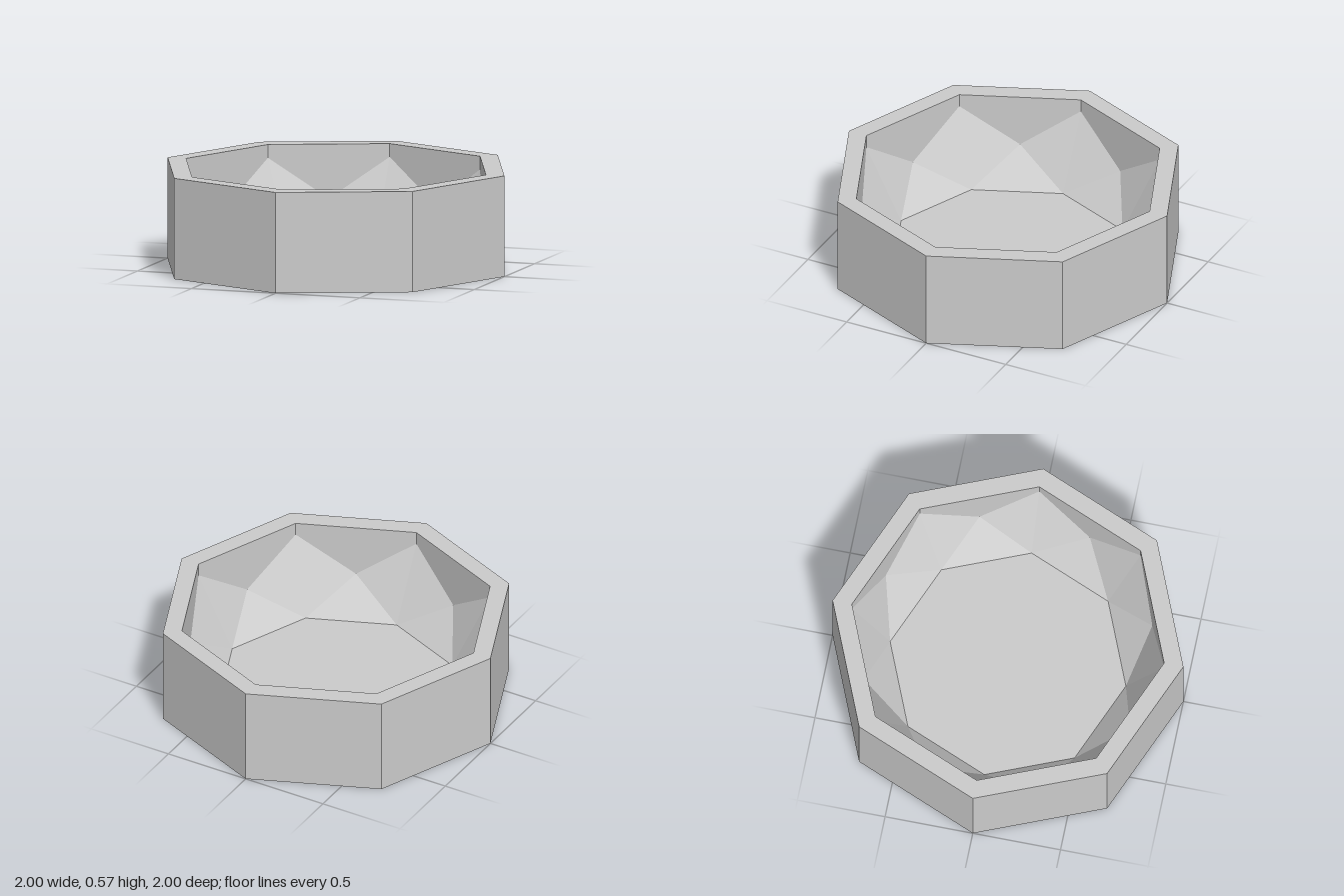
import * as THREE from 'three';

const SIDES = 8;
const STEP = (Math.PI * 2) / SIDES;
const HEIGHT = 0.57;

// Point on an octagon: step i (halves fall mid-side), radius r, height y
const at = (i, r, y) => [Math.sin(i * STEP) * r, y, Math.cos(i * STEP) * r];

// Flat-shaded mesh from convex polygons (counter-clockwise corners), repeated for each side
function facetedPart(name, material, polygonsForSide) {
  const positions = [];
  for (let i = 0; i < SIDES; i++) {
    for (const p of polygonsForSide(i)) {
      for (let k = 1; k < p.length - 1; k++) positions.push(...p[0], ...p[k], ...p[k + 1]);
    }
  }
  const geometry = new THREE.BufferGeometry();
  geometry.setAttribute('position', new THREE.Float32BufferAttribute(positions, 3));
  geometry.computeVertexNormals();
  const mesh = new THREE.Mesh(geometry, material);
  mesh.name = name;
  return mesh;
}

export function createModel() {
  const material = new THREE.MeshStandardMaterial({ color: 0xcccccc, flatShading: true });
  const group = new THREE.Group();
  group.name = 'octagonalBowl';

  const innerR = 0.89;
  const midR = innerR * Math.cos(STEP / 2);
  const outer = (i, y) => at(i, 1, y);
  const rimIn = (i) => at(i, innerR, HEIGHT);
  const corner = (i) => at(i, innerR, 0.495); // foot of each inner wall corner
  const mid = (i) => at(i + 0.5, midR, 0.263); // lowest point of each inner wall
  const floor = (i) => at(i, 0.672, 0.075);

  // Outside walls and underside
  group.add(facetedPart('outerBody', material, (i) => [
    [outer(i, 0), outer(i + 1, 0), outer(i + 1, HEIGHT), outer(i, HEIGHT)],
    [[0, 0, 0], outer(i + 1, 0), outer(i, 0)],
  ]));

  // Flat top rim
  group.add(facetedPart('rim', material, (i) => [
    [outer(i, HEIGHT), outer(i + 1, HEIGHT), rimIn(i + 1), rimIn(i)],
  ]));

  // Upright inner walls, each pointed at the bottom
  group.add(facetedPart('innerWall', material, (i) => [
    [mid(i), corner(i), rimIn(i), rimIn(i + 1), corner(i + 1)],
  ]));

  // Sloping facets: a kite under each corner, a triangle under each side
  group.add(facetedPart('slopingFacets', material, (i) => [
    [corner(i), mid(i), floor(i), mid(i - 1)],
    [mid(i), floor(i + 1), floor(i)],
  ]));

  // Flat floor of the bowl
  group.add(facetedPart('bowlFloor', material, (i) => [
    [[0, 0.075, 0], floor(i), floor(i + 1)],
  ]));

  return group;
}
